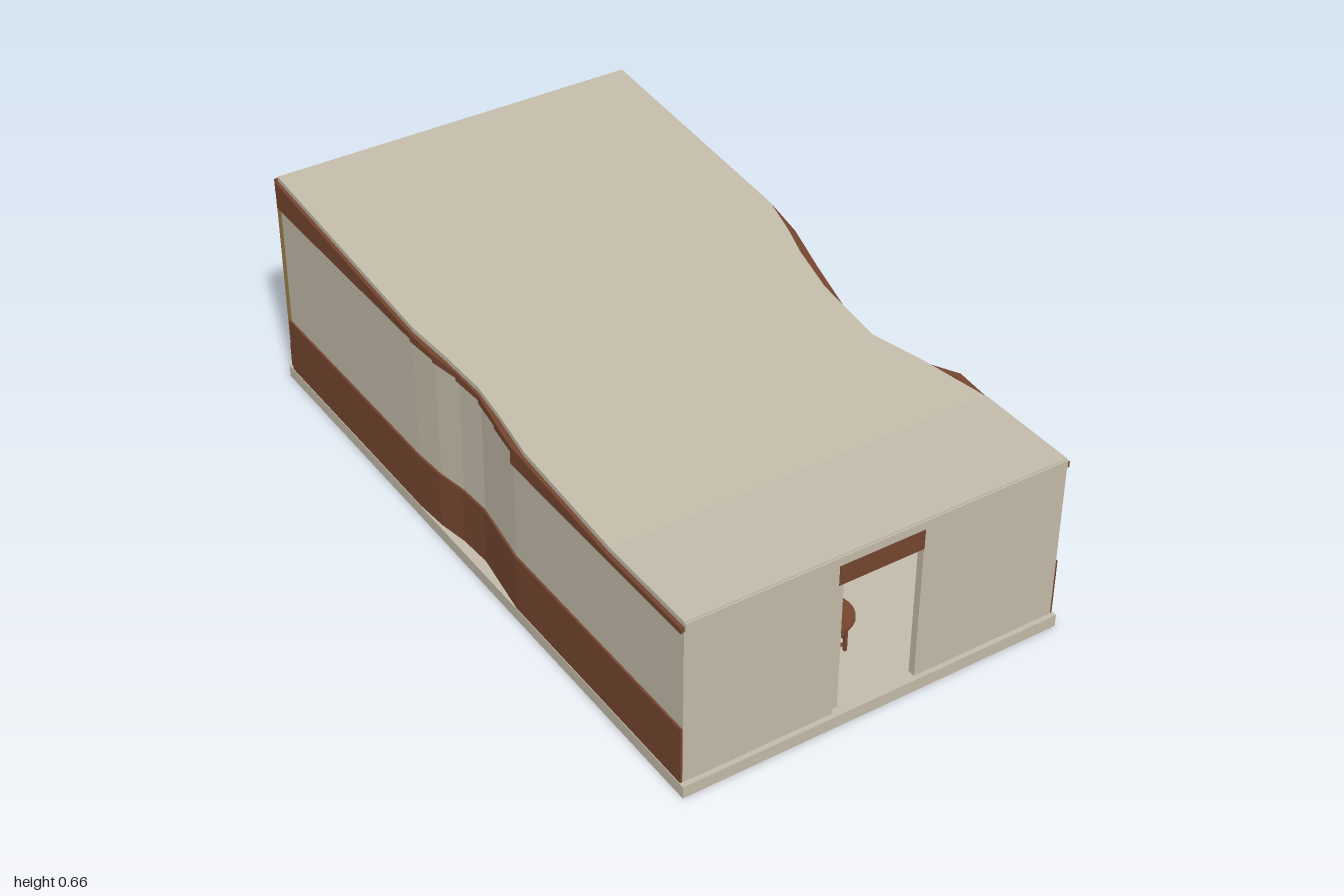
import * as THREE from 'three';

export function createModel() {
  const model = new THREE.Group();
  const mat = (name, color) => new THREE.MeshStandardMaterial({ name, color });
  const plaster = mat('plaster', 0xc2baa8);
  const brown = mat('brownWood', 0x74452f);
  const glass = mat('glass', 0x566774);
  const tan = mat('tanWood', 0x99804f);

  const add = (name, geo, material, parent = model) => {
    const mesh = new THREE.Mesh(geo, material);
    mesh.name = name;
    parent.add(mesh);
    return mesh;
  };
  // Box given by its limits
  const box = (name, m, x0, x1, y0, y1, z0, z1, parent) => {
    const geo = new THREE.BoxGeometry(x1 - x0, y1 - y0, z1 - z0);
    geo.translate((x0 + x1) / 2, (y0 + y1) / 2, (z0 + z1) / 2);
    return add(name, geo, m, parent);
  };
  // Solid through rectangular sections [z, x0, x1, y0, y1], ordered front to back
  const loft = (sections) => {
    const rings = sections.map(([z, x0, x1, y0, y1]) =>
      [[x0, y0, z], [x1, y0, z], [x1, y1, z], [x0, y1, z]]);
    const pos = [];
    const quad = (a, b, c, d) => pos.push(...a, ...b, ...c, ...a, ...c, ...d);
    for (let i = 0; i < rings.length - 1; i++) {
      const r = rings[i], s = rings[i + 1];
      for (let k = 0; k < 4; k++) quad(r[k], s[k], s[(k + 1) % 4], r[(k + 1) % 4]);
    }
    const last = rings[rings.length - 1];
    quad(...rings[0]);
    quad(last[3], last[2], last[1], last[0]);
    const geo = new THREE.BufferGeometry();
    geo.setAttribute('position', new THREE.Float32BufferAttribute(pos, 3));
    geo.computeVertexNormals();
    return geo;
  };
  // Linear interpolation along a plan line of [z, x] points
  const along = (line, z) => {
    for (let i = 0; i < line.length - 1; i++) {
      const [za, xa] = line[i], [zb, xb] = line[i + 1];
      if (z <= za && z >= zb) return xa + (xb - xa) * (za - z) / (za - zb);
    }
    return line[line.length - 1][1];
  };
  // Underside of the roof: flat at the front, rising to the back
  const underY = (z) => 0.503 + Math.max(0, 0.68 - z) * 0.143 / 1.66;

  // Floor slab
  box('floorSlab', plaster, -0.555, 0.555, 0, 0.035, -1, 1);

  // Side walls: lower band, plaster panels with stepped tops, fascia under the roof
  const leftLine = [[0.985, 0.547], [0.57, 0.547], [0.455, 0.472], [0.35, 0.443], [0.2, 0.455],
    [0.04, 0.492], [-0.12, 0.533], [-0.24, 0.547], [-0.98, 0.547]];
  const rightLine = [[0.985, -0.547], [0.25, -0.547], [0.15, -0.533], [0.05, -0.519],
    [-0.05, -0.524], [-0.14, -0.54], [-0.24, -0.547], [-0.98, -0.547]];
  const buildWall = (side, line) => {
    const wall = new THREE.Group();
    wall.name = side + 'Wall';
    model.add(wall);
    const section = (z, x, out, y0, y1) => {
      const s = Math.sign(x), a = x + s * out, b = x - s * 0.012;
      return [z, Math.min(a, b), Math.max(a, b), y0, y1];
    };
    add('lowerBand', loft(line.map(([z, x]) => section(z, x, 0.006, 0.035, 0.2))), brown, wall);
    for (let i = 0; i < line.length - 1; i++) {
      const [za, xa] = line[i], [zb, xb] = line[i + 1];
      const top = zb === -0.98 ? 0.565 : Math.min(underY(za), underY(zb)) - 0.016;
      add('wallPanel', loft([section(za, xa, 0, 0.2, top), section(zb, xb, 0, 0.2, top)]), plaster, wall);
      const foot = Math.min(top, underY(za) - 0.005);
      const mids = za > 0.68 && zb < 0.68 ? [za, 0.68, zb] : [za, zb];
      add('fascia', loft(mids.map((z) => section(z, along(line, z), 0.008, foot, underY(z)))), brown, wall);
    }
  };
  buildWall('left', leftLine);
  buildWall('right', rightLine);

  // Roof with waisted edges
  const roofLeft = [[0.985, 0.545], [0.69, 0.545], [0.5, 0.495], [0.35, 0.445], [0.13, 0.456],
    [-0.02, 0.487], [-0.12, 0.517], [-0.24, 0.545], [-0.98, 0.545]];
  const roofRight = [[0.985, -0.545], [0.3, -0.545], [0.15, -0.528], [0.04, -0.52],
    [-0.1, -0.53], [-0.24, -0.545], [-0.98, -0.545]];
  const stations = [...new Set([...roofLeft, ...roofRight].map((p) => p[0]).concat(0.68))].sort((a, b) => b - a);
  add('roof', loft(stations.map((z) =>
    [z, along(roofRight, z), along(roofLeft, z), underY(z), underY(z) + 0.014])), plaster);

  // Front wall with doorway
  box('frontWallRight', plaster, -0.547, -0.122, 0.035, 0.49, 0.965, 0.986);
  box('frontWallLeft', plaster, 0.122, 0.547, 0.035, 0.49, 0.965, 0.986);
  box('doorLintel', brown, -0.122, 0.122, 0.43, 0.49, 0.965, 0.988);
  box('roofEdge', plaster, -0.545, 0.545, 0.49, 0.514, 0.965, 0.99);
  box('openDoor', plaster, -0.122, -0.1, 0.037, 0.428, 0.74, 0.975);
  box('doorEdge', brown, -0.1, -0.093, 0.037, 0.428, 0.74, 0.75);

  // Glazed back wall
  box('backSill', brown, -0.547, 0.547, 0.035, 0.11, -1, -0.97);
  box('backHeader', brown, -0.547, 0.547, 0.597, 0.644, -1, -0.975);
  box('backWindow', glass, -0.54, 0.54, 0.11, 0.597, -0.987, -0.98);
  for (const x of [-0.537, 0, 0.537])
    box('windowPost', tan, x - 0.011, x + 0.011, 0.11, 0.6, -0.995, -0.972);

  // Round table on four legs
  const table = new THREE.Group();
  table.name = 'table';
  table.position.set(-0.002, 0, 0.78);
  model.add(table);
  const top = new THREE.CylinderGeometry(0.078, 0.078, 0.008, 24);
  add('tableTop', top.translate(0, 0.137, 0), brown, table);
  for (const x of [-0.04, 0.04]) {
    for (const z of [-0.04, 0.04])
      box('tableLeg', brown, x - 0.004, x + 0.004, 0.035, 0.134, z - 0.004, z + 0.004, table);
    box('sideRail', brown, x - 0.003, x + 0.003, 0.068, 0.074, -0.04, 0.04, table);
  }
  for (const z of [-0.04, 0.04])
    box('crossRail', brown, -0.04, 0.04, 0.055, 0.061, z - 0.003, z + 0.003, table);

  // Cabinet and small crate beside the doorway
  box('cabinet', brown, 0.117, 0.2, 0.035, 0.25, 0.4, 0.6);
  box('crate', brown, 0.102, 0.13, 0.062, 0.09, 0.61, 0.64);

  // Slanted ceiling battens
  for (const s of [-1, 1]) {
    const batten = add('ceilingBatten', new THREE.BoxGeometry(0.07, 0.008, 0.02), plaster);
    batten.position.set(s * 0.073, 0.412, 0.3);
    batten.rotation.z = s * 0.45;
  }
  return model;
}
